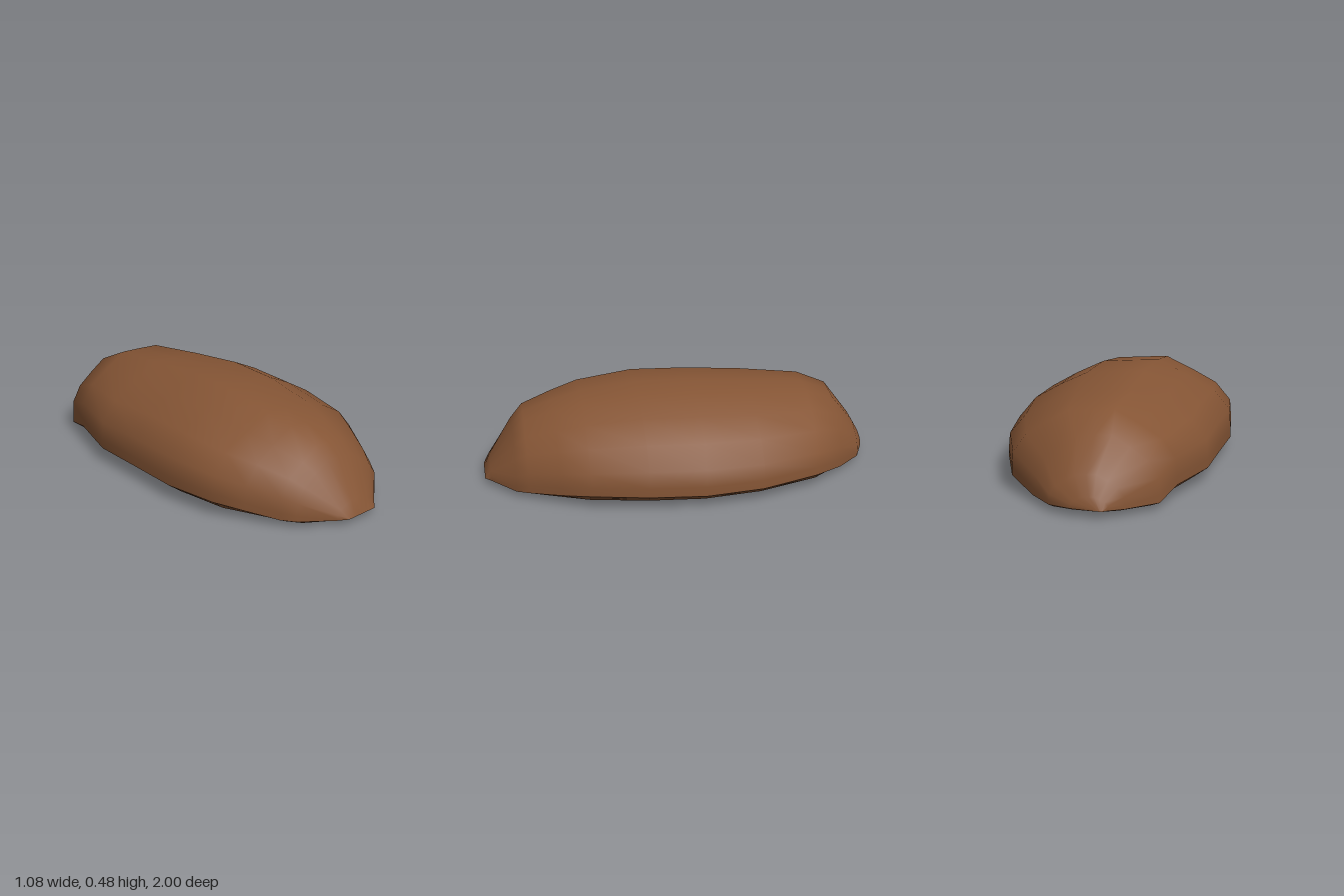
import * as THREE from 'three';

// Stations along the body: z, left x, right x, crown y, rim y, underside y
const stations = [
  [1, -0.10, 0.08, 0.03, 0.03, 0.03],
  [0.97, -0.15, 0.11, 0.10, 0.03, 0.025],
  [0.85, -0.30, 0.25, 0.28, 0.03, 0.005],
  [0.79, -0.35, 0.285, 0.345, 0.035, 0.005],
  [0.64, -0.43, 0.375, 0.40, 0.055, 0.004],
  [0.5, -0.51, 0.455, 0.44, 0.078, 0.003],
  [0.22, -0.54, 0.515, 0.48, 0.078, 0],
  [-0.06, -0.515, 0.54, 0.48, 0.075, 0],
  [-0.35, -0.495, 0.51, 0.455, 0.075, 0.003],
  [-0.65, -0.39, 0.41, 0.427, 0.075, 0.01],
  [-0.81, -0.335, 0.265, 0.35, 0.035, 0.015],
  [-0.93, -0.195, 0.16, 0.19, 0.035, 0.025],
  [-0.98, -0.13, 0.05, 0.10, 0.04, 0.035],
  [-1, -0.105, -0.08, 0.04, 0.04, 0.04],
];

// Cross-sections: across (-1..1), height fraction
const domeSection = [
  [1, 0], [1, 0.12], [0.985, 0.33], [0.82, 0.59], [0.57, 0.78], [0.3, 0.95], [0, 0.98],
  [-0.26, 1], [-0.55, 0.82], [-0.82, 0.63], [-0.985, 0.37], [-1, 0.12], [-1, 0],
];
const baseSection = [[-1, 1], [-0.86, 0.3], [-0.25, 0], [0.25, 0], [0.86, 0.3], [1, 1]];

// Skins one cross-section through all the stations
function loft(section, heightOf) {
  const positions = [], index = [], n = section.length;
  stations.forEach((s, i) => {
    const [z, left, right] = s;
    section.forEach(([u, f], j) => {
      positions.push((left + right) / 2 + u * (right - left) / 2, heightOf(s, f), z);
      if (i < stations.length - 1 && j < n - 1) {
        const a = i * n + j, b = a + 1, c = a + n, d = c + 1;
        index.push(a, c, b, b, c, d);
      }
    });
  });
  const geometry = new THREE.BufferGeometry();
  geometry.setAttribute('position', new THREE.Float32BufferAttribute(positions, 3));
  geometry.setIndex(index);
  geometry.computeVertexNormals();
  return geometry;
}

export function createModel() {
  const group = new THREE.Group();
  const brown = new THREE.MeshStandardMaterial({ color: 0x855535 });
  brown.name = 'brown';

  // Rounded upper body
  const dome = new THREE.Mesh(
    loft(domeSection, ([, , , crown, rim], f) => THREE.MathUtils.lerp(rim, crown, f)), brown);
  dome.name = 'dome';

  // Flat underside with bevelled rim
  const underside = new THREE.Mesh(
    loft(baseSection, ([, , , , rim, floor], f) => THREE.MathUtils.lerp(floor, rim, f)), brown);
  underside.name = 'underside';

  group.add(dome, underside);
  return group;
}
